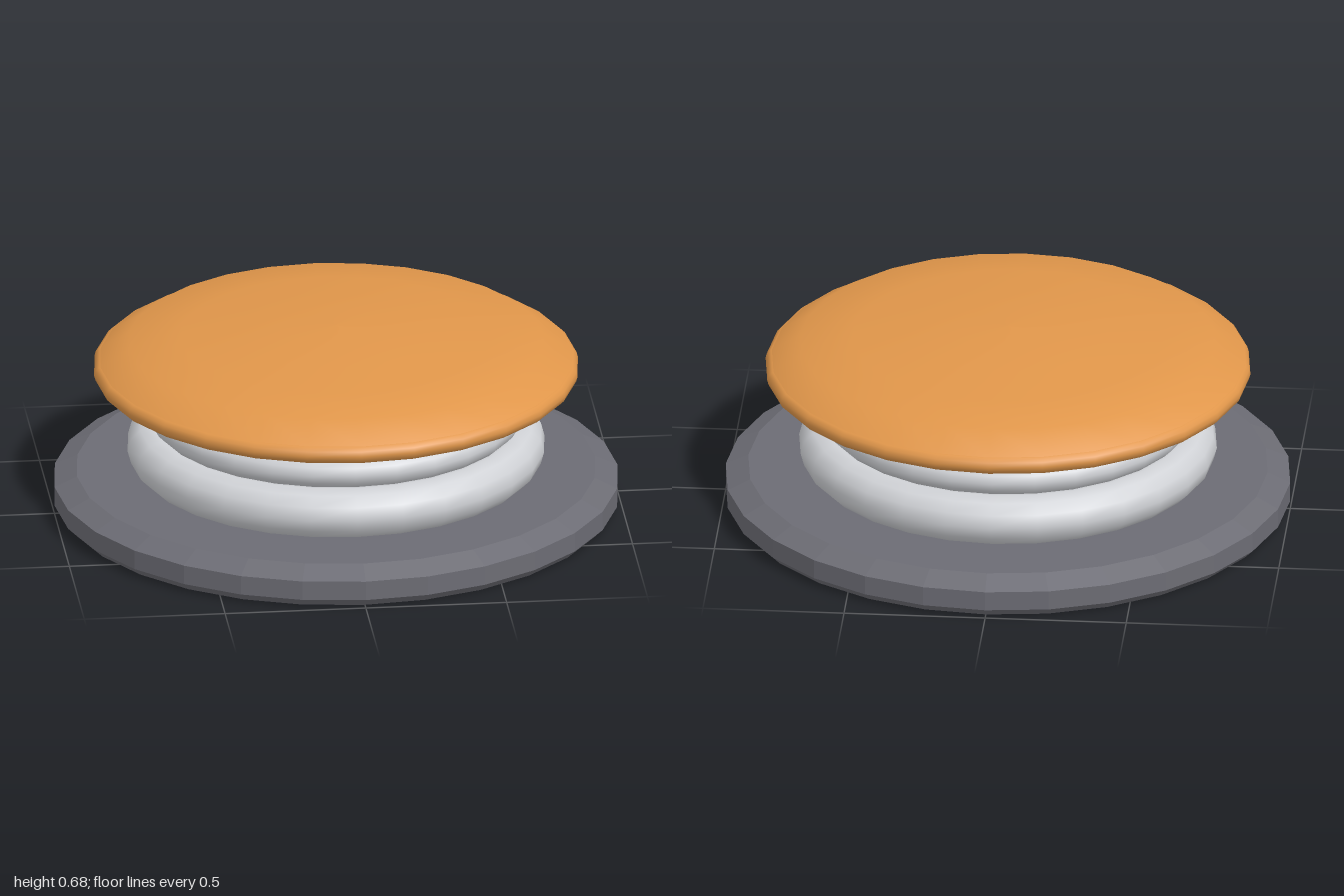
import * as THREE from 'three';

const SIDES = 28;

export function createModel() {
  const model = new THREE.Group();
  const grey = new THREE.MeshStandardMaterial({ color: 0x6c6c74, flatShading: true });
  const white = new THREE.MeshStandardMaterial({ color: 0xd0d2d6 });
  const orange = new THREE.MeshStandardMaterial({ color: 0xe0964a });

  const add = (name, geometry, material, y = 0) => {
    const mesh = new THREE.Mesh(geometry, material);
    mesh.name = name;
    mesh.position.y = y;
    model.add(mesh);
  };
  const lathe = (points) =>
    new THREE.LatheGeometry(points.map(([r, y]) => new THREE.Vector2(r, y)), SIDES);
  const ring = (radius, tube) =>
    new THREE.TorusGeometry(radius, tube, 12, SIDES).rotateX(Math.PI / 2);

  // Faceted base plate with bevelled edges
  add('basePlate', lathe([[0, 0], [0.97, 0], [1, 0.03], [1, 0.1], [0.92, 0.137], [0, 0.137]]), grey);

  // Stacked bellows, narrowing upwards around a hidden core
  [[0.65, 0.09, 0.225], [0.612, 0.057, 0.365], [0.56, 0.045, 0.455]].forEach(([radius, tube, y], i) =>
    add(`bellowsRing${i + 1}`, ring(radius, tube), white, y));
  add('bellowsCore', new THREE.CylinderGeometry(0.56, 0.62, 0.4, SIDES), white, 0.32);

  // Domed cap, its flat underside and the rounded rim
  add('capDome', lathe([[0.838, 0.548], [0.735, 0.614], [0.55, 0.637], [0.35, 0.657], [0.18, 0.67], [0, 0.675]]), orange);
  add('capUnderside', lathe([[0, 0.505], [0.825, 0.505]]), orange);
  add('capRim', ring(0.825, 0.034), orange, 0.518);

  return model;
}
